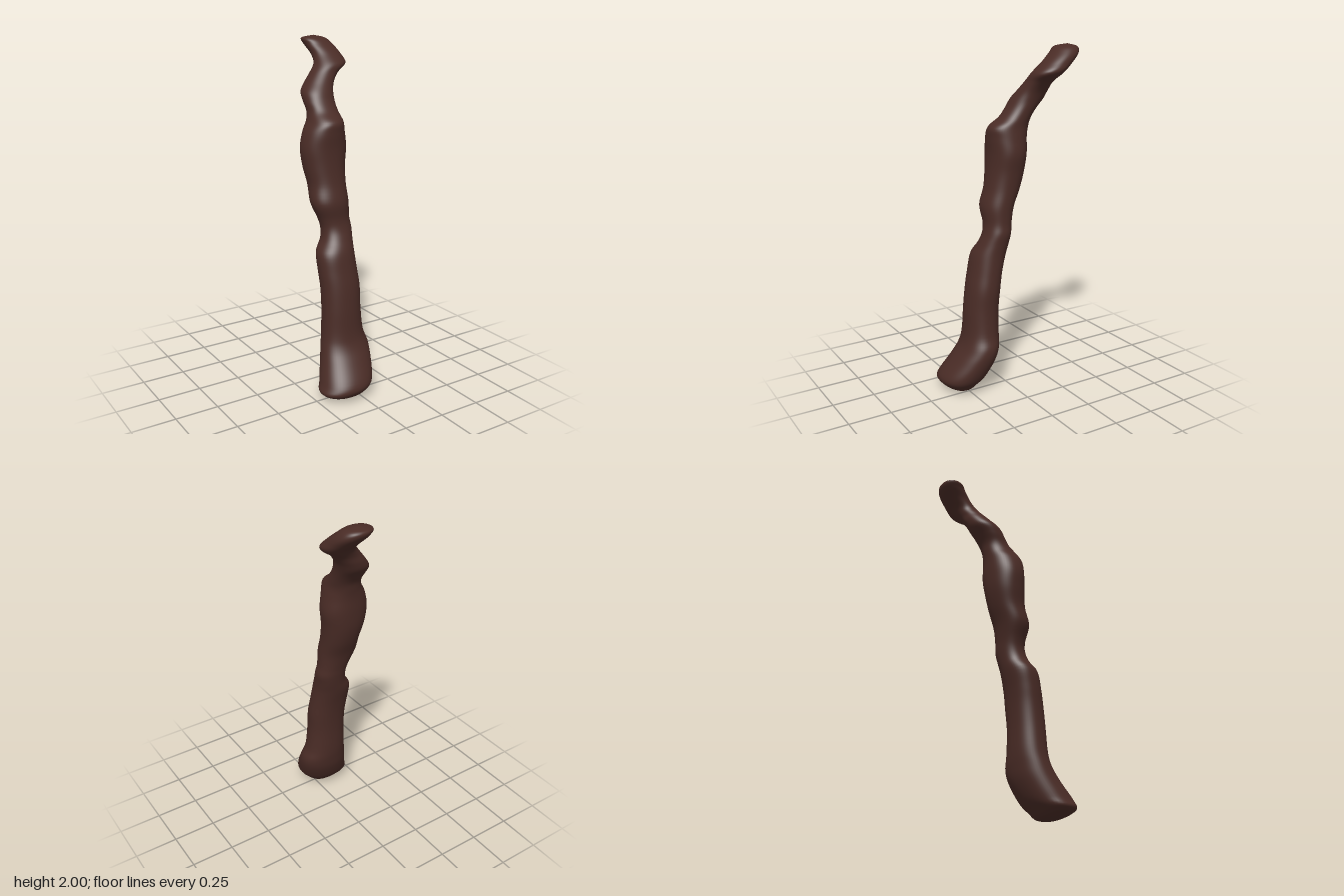
import * as THREE from 'three';
import { mergeVertices } from 'three/addons/utils/BufferGeometryUtils.js';

// Level slices of the branch: y, x min, x max, z min, z max
const LOWER = [
  [0.0, -0.06, -0.06, 0.27, 0.27],
  [0.012, -0.15, 0.01, 0.21, 0.33],
  [0.05, -0.23, 0.055, 0.17, 0.385],
  [0.1, -0.215, 0.092, 0.13, 0.395],
  [0.2, -0.18, 0.122, 0.087, 0.33],
  [0.28, -0.16, 0.128, 0.07, 0.28],
  [0.36, -0.147, 0.103, 0.062, 0.258],
  [0.5, -0.14, 0.09, 0.058, 0.248],
  [0.62, -0.14, 0.092, 0.047, 0.235],
  [0.72, -0.145, 0.085, 0.03, 0.215],
  [0.82, -0.142, 0.08, 0.005, 0.193],
  [0.89, -0.1, 0.084, -0.008, 0.16],
  [0.95, -0.09, 0.09, -0.018, 0.135],
  [1.01, -0.105, 0.082, -0.027, 0.125],
  [1.1, -0.143, 0.08, -0.05, 0.13],
  [1.2, -0.14, 0.08, -0.09, 0.105],
];
const UPPER = [
  [1.3, -0.157, 0.087, -0.118, 0.09],
  [1.4, -0.167, 0.1, -0.13, 0.085],
  [1.49, -0.147, 0.087, -0.135, 0.09],
  [1.55, -0.113, 0.077, -0.144, 0.085],
  [1.6, -0.096, 0.076, -0.157, 0.02],
  [1.65, -0.097, 0.08, -0.19, -0.022],
  [1.7, -0.09, 0.09, -0.23, -0.05],
  [1.75, -0.052, 0.11, -0.245, -0.08],
  [1.8, -0.01, 0.15, -0.252, -0.103],
  [1.85, 0.03, 0.215, -0.28, -0.117],
  [1.9, 0.043, 0.213, -0.333, -0.17],
  [1.95, 0.03, 0.197, -0.385, -0.23],
  [1.985, 0.025, 0.165, -0.393, -0.275],
  [2.0, 0.1, 0.1, -0.34, -0.34],
];

const curve = (points) => new THREE.CatmullRomCurve3(points, false, 'catmullrom', 0.5);

// Lofts rounded slices whose extents follow two smooth curves
function loftBranch(rows, rings, sides) {
  const low = curve(rows.map(([y, x0, , z0]) => new THREE.Vector3(x0, y, z0)));
  const high = curve(rows.map(([y, , x1, , z1]) => new THREE.Vector3(x1, y, z1)));
  const round = (v) => Math.sign(v) * Math.abs(v) ** 0.9; // slightly squared oval
  const positions = [];
  const index = [];
  for (let i = 0; i <= rings; i++) {
    const a = low.getPoint(i / rings);
    const b = high.getPoint(i / rings);
    for (let j = 0; j < sides; j++) {
      const t = (j / sides) * Math.PI * 2;
      positions.push(
        (a.x + b.x) / 2 + ((b.x - a.x) / 2) * round(Math.cos(t)),
        Math.min(2, Math.max(0, a.y)),
        (a.z + b.z) / 2 + ((b.z - a.z) / 2) * round(Math.sin(t)),
      );
      if (i === rings) continue;
      const k = (j + 1) % sides;
      const p = i * sides;
      const q = p + sides;
      index.push(p + j, q + j, p + k, q + j, q + k, p + k);
    }
  }
  let geometry = new THREE.BufferGeometry();
  geometry.setAttribute('position', new THREE.Float32BufferAttribute(positions, 3));
  geometry.setIndex(index);
  geometry = mergeVertices(geometry, 1e-5); // joins each end to one point
  geometry.computeVertexNormals();
  return geometry;
}

export function createModel() {
  const group = new THREE.Group();
  group.name = 'branch';
  const bark = new THREE.MeshStandardMaterial({ color: 0x4a2c26 });
  const rows = [...LOWER, ...UPPER];
  const stem = new THREE.Mesh(loftBranch(rows, (rows.length - 1) * 5, 48), bark);
  stem.name = 'stem';
  group.add(stem);
  return group;
}
